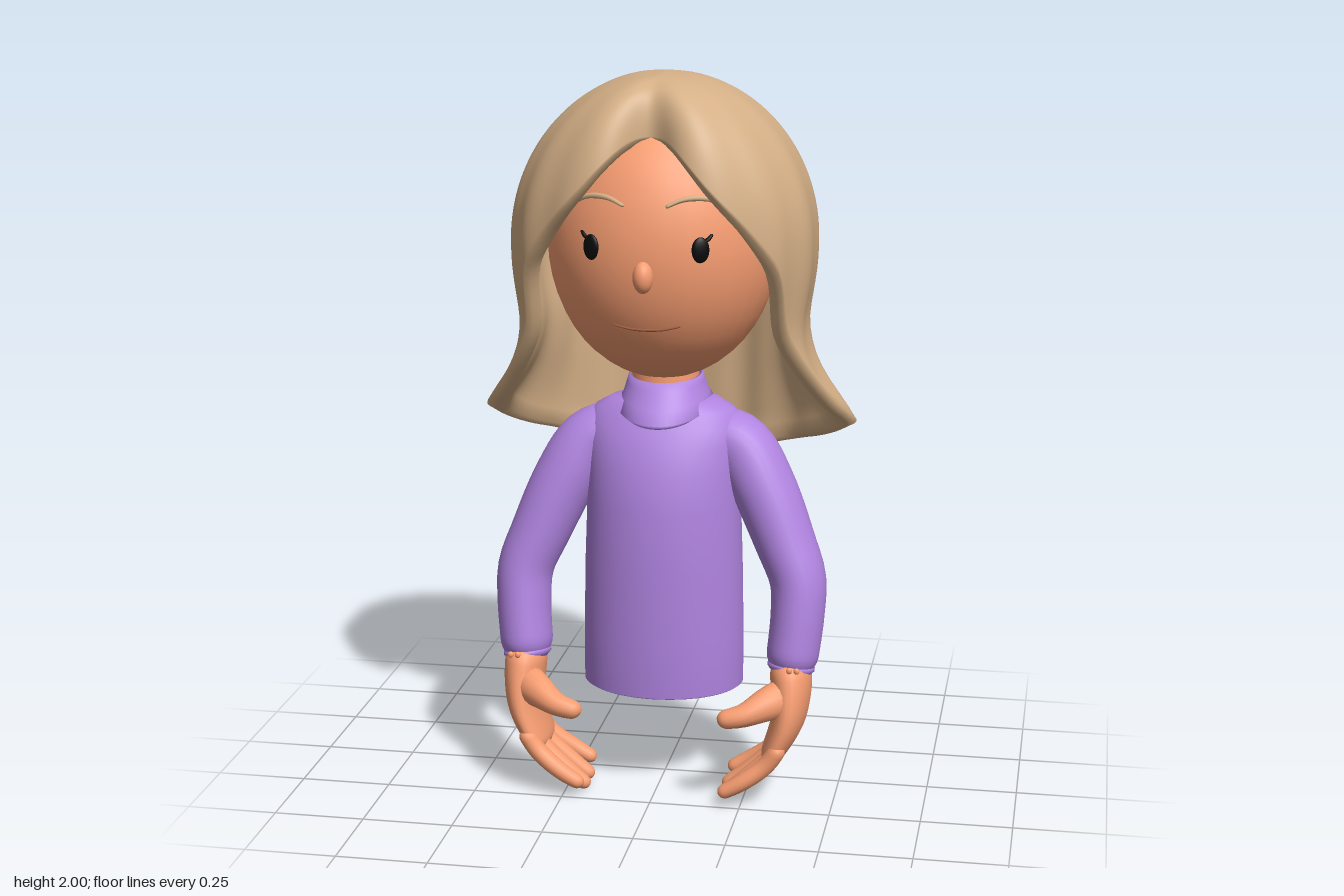
import * as THREE from 'three';

const mat = (color, side = THREE.FrontSide) => new THREE.MeshStandardMaterial({ color, side, roughness: 0.8 });
const V = (x, y, z) => new THREE.Vector3(x, y, z);

// Linear lookup in a table of [key, value] pairs with ascending keys
function lookup(table, k) {
  if (k <= table[0][0]) return table[0][1];
  for (let i = 1; i < table.length; i++) {
    const [a, va] = table[i - 1], [b, vb] = table[i];
    if (k <= b) return va + (vb - va) * (k - a) / (b - a);
  }
  return table[table.length - 1][1];
}
const smoothLookup = (table, k, w) =>
  [-1, -0.5, 0, 0.5, 1].reduce((s, d) => s + lookup(table, k + d * w), 0) / 5;

// Surface through rows of closed rings
function rings(rows, cols, point) {
  const pos = [], index = [];
  for (let i = 0; i < rows; i++)
    for (let j = 0; j < cols; j++) pos.push(...point(i, j / cols * Math.PI * 2).toArray());
  for (let i = 0; i < rows - 1; i++)
    for (let j = 0; j < cols; j++) {
      const k = (j + 1) % cols, a = i * cols + j, b = i * cols + k;
      index.push(a, b, a + cols, b, b + cols, a + cols);
    }
  const g = new THREE.BufferGeometry();
  g.setAttribute('position', new THREE.Float32BufferAttribute(pos, 3));
  g.setIndex(index);
  g.computeVertexNormals();
  return g;
}

// Round-ended limb along a path; radii are [across, along z] pairs spaced along it
function limb(points, radii, rows = 26, cols = 20) {
  const curve = new THREE.CatmullRomCurve3(points), len = curve.getLength();
  return rings(rows, cols, (i, a) => {
    const t = (1 - Math.cos(Math.PI * i / (rows - 1))) / 2;
    const table = c => radii.map((r, k) => [k / (radii.length - 1), r[c]]);
    const rx = smoothLookup(table(0), t, 0.1), rz = smoothLookup(table(1), t, 0.1);
    const d = Math.min(t, 1 - t) * len, q = Math.max(0, 1 - d / Math.min(rx, rz));
    const end = Math.sqrt(Math.max(0, 1 - q * q));
    const tan = curve.getTangentAt(t);
    const n1 = V(0, 0, 1).addScaledVector(tan, -tan.z).normalize();
    const n2 = tan.clone().cross(n1);
    return curve.getPointAt(t).addScaledVector(n1, Math.cos(a) * rz * end).addScaledVector(n2, Math.sin(a) * rx * end);
  });
}

// Hem height by angle from the front centre (0) to the back (PI)
const HEM = [[0, 1.86], [0.15, 1.845], [0.32, 1.79], [0.5, 1.7], [0.75, 1.6], [1.0, 1.48], [1.15, 1.33],
  [1.42, 1.17], [1.6, 1.07], [1.95, 0.99], [2.45, 0.93], [3.2, 0.92]];
const WIDTH = [[1.03, 0.55], [1.1, 0.495], [1.2, 0.418], [1.3, 0.388], [1.4, 0.392], [1.55, 0.41]];
const BACK = [[0.92, 0.31], [0.97, 0.335], [1.2, 0.34], [1.55, 0.36]];

function hairPoint(angle, t, scale, drop) {
  const phi = angle > Math.PI ? Math.PI * 2 - angle : angle;
  const s = Math.sin(angle), c = Math.cos(angle);
  const hem = smoothLookup(HEM, phi, 0.07);
  let y = 2.004 - (2.004 - hem) * Math.pow(t, 1.8);
  const k = y > 1.55 ? Math.max(0, 1 - ((y - 1.55) / 0.454) ** 2) : 1;
  const flare = Math.pow(Math.abs(s), 6);
  const low = 0.39 * (1 - flare) + smoothLookup(WIDTH, y, 0.04) * flare;
  const blend = THREE.MathUtils.smoothstep(y, 1.3, 1.55);
  const w = (low + (0.413 - low) * blend) * Math.sqrt(k);
  const depth = c > 0 ? 0.358 * Math.pow(k, 0.23 + 0.27 * (1 - c)) : lookup(BACK, y) * Math.sqrt(k);
  const ripple = 1 + 0.014 * t * Math.sin(phi * 15) * Math.min(1, phi);
  const x = w * s * scale * ripple;
  let z = Math.sign(c) * Math.pow(Math.abs(c), c > 0 ? 0.85 : 0.78) * depth * scale * ripple;
  // Centre parting
  if (c > 0) z -= 0.1 * Math.exp(-((x / 0.085) ** 2)) * t * c;
  y -= 0.012 * Math.exp(-((x / 0.04) ** 2)) * (z > -0.1 ? 1 : 0.5) * Math.min(1, t * 4);
  return V(x, y - drop * (1 - t), z);
}

export function createModel() {
  const model = new THREE.Group();
  const skin = mat(0xf89e72), purple = mat(0xb084e0), hairMat = mat(0xd4af86), black = mat(0x0a0a0a);
  const cloth = mat(0xb084e0, THREE.DoubleSide), lip = mat(0x9c5a3c);
  const add = (name, geo, m, parent = model) => {
    const mesh = new THREE.Mesh(geo, m);
    mesh.name = name;
    parent.add(mesh);
    return mesh;
  };
  const ball = (name, p, r, m, parent) => {
    const b = add(name, new THREE.SphereGeometry(1, 32, 24), m, parent);
    b.position.copy(p);
    b.scale.set(...r);
    return b;
  };

  // Head and face
  const face = (x, y, out = 0) =>
    V(x, y, 0.02 + out + 0.31 * Math.sqrt(Math.max(0, 1 - (x / 0.315) ** 2 - ((y - 1.55) / 0.38) ** 2)));
  const line = (pts, r) => limb(pts.map(([x, y]) => face(x, y, 0.002)), [[r * 0.6, r], [r, r], [r * 0.6, r]], 20, 8);
  ball('head', V(0, 1.55, 0.02), [0.315, 0.38, 0.31], skin);
  ball('nose', V(0, 1.5, 0.335), [0.027, 0.042, 0.03], skin);
  add('mouth', line([[-0.09, 1.362], [-0.045, 1.353], [0, 1.351], [0.045, 1.353], [0.09, 1.362]], 0.004), lip);
  for (const s of [-1, 1]) {
    const eye = ball('eye', face(s * 0.145, 1.57), [0.024, 0.034, 0.01], black);
    eye.rotation.y = s * 0.45;
    add('eyelash', line([[s * 0.15, 1.59], [s * 0.163, 1.597], [s * 0.174, 1.61]], 0.006), black);
    add('eyebrow', line([[s * 0.055, 1.682], [s * 0.1, 1.7], [s * 0.155, 1.7], [s * 0.2, 1.68]], 0.008), hairMat);
  }
  const neck = add('neck', new THREE.CylinderGeometry(0.09, 0.1, 0.25, 32), skin);
  neck.position.set(0, 1.13, -0.01);

  // Hair: inner surface down, round the hem, outer surface up
  const N = 44;
  add('hair', rings(2 * N + 3, 144, (i, a) => {
    if (i <= N) return hairPoint(a, i / N, 0.89, 0.03);
    if (i === N + 1) {
      const p = hairPoint(a, 1, 0.95, 0);
      p.y -= 0.012;
      return p;
    }
    return hairPoint(a, (2 * N + 2 - i) / N, 1, 0);
  }), hairMat);

  // Sweater body: [y, half width, half depth]
  const body = [[0.29, 0.218, 0.178], [0.295, 0.225, 0.185], [0.45, 0.225, 0.186], [0.65, 0.221, 0.186], [0.82, 0.215, 0.182],
    [0.92, 0.217, 0.172], [0.99, 0.222, 0.155], [1.04, 0.218, 0.133], [1.08, 0.195, 0.112], [1.105, 0.15, 0.1], [1.115, 0.08, 0.085]];
  const bodyPoint = (i, a, scale) => {
    const [y, w, d] = body[i];
    return V(Math.sin(a) * w * scale, y, 0.02 - 0.03 * Math.max(0, (y - 0.8) / 0.3) + Math.cos(a) * d * scale);
  };
  add('sweaterBody', rings(body.length, 64, (i, a) => bodyPoint(i, a, 1)), cloth);
  // Open skin lining seen from below
  add('bodyLining', rings(body.length - 1, 64, (i, a) => bodyPoint(i, a, 0.975)), mat(0xf89e72, THREE.DoubleSide));

  // Rolled collar: flared skirt dipping at the front, folded top, then inside
  const collar = [[0, 0.115], [0.1, 0.132], [0.4, 0.118], [0.8, 0.107], [1, 0.102], [0.97, 0.093], [0.5, 0.092]];
  add('collar', rings(collar.length, 48, (i, a) => {
    const [t, r] = collar[i], c = Math.cos(a), hang = 1 - t;
    return V(Math.sin(a) * r, 1.085 - 0.035 * c * hang + 0.09 * t - 0.012 * c * t,
      c * r - 0.015 + 0.06 * hang * Math.max(0, c));
  }), cloth);

  // Arms and hands
  for (const s of [-1, 1]) {
    const arm = new THREE.Group();
    arm.name = s > 0 ? 'leftArm' : 'rightArm';
    model.add(arm);
    const path = pts => pts.map(([x, y, z]) => V(s * x, y, z));
    add('sleeve', limb(path([[0.1, 1.015, -0.01], [0.205, 0.982, -0.005], [0.275, 0.875, 0.02], [0.345, 0.72, 0.05],
      [0.384, 0.62, 0.07], [0.387, 0.53, 0.088], [0.37, 0.35, 0.118]]),
      [[0.07, 0.08], [0.09, 0.097], [0.09, 0.1], [0.084, 0.098], [0.077, 0.094], [0.073, 0.092], [0.072, 0.092]], 44, 28), purple, arm);
    add('cuff', limb(path([[0.378, 0.42, 0.108], [0.374, 0.385, 0.114], [0.369, 0.345, 0.121]]),
      [[0.077, 0.097], [0.081, 0.101], [0.079, 0.099]], 16, 28), purple, arm);
    for (const x of [0.38, 0.4])
      ball('cuffButton', V(s * x, 0.4, 0.208), [0.008, 0.009, 0.006], skin, arm);
    add('palm', limb(path([[0.37, 0.42, 0.115], [0.377, 0.32, 0.13], [0.37, 0.24, 0.14], [0.318, 0.115, 0.145]]),
      [[0.056, 0.08], [0.058, 0.098], [0.05, 0.108], [0.04, 0.108], [0.028, 0.1]], 28, 24), skin, arm);
    [[0.228, 0.238, 0.055], [0.176, 0.178, 0.028], [0.118, 0.115, 0.032], [0.066, 0.054, 0.06]].forEach(([z0, z1, y], k) =>
      add('finger' + (k + 1), limb(path([[0.362, 0.19, z0], [0.32, 0.128, z0], [0.255, 0.055 + y * 0.4, z1], [0.18 + y * 0.2, y - 0.016, z1]]),
        [[0.024, 0.028], [0.025, 0.027], [0.024, 0.026], [0.019, 0.021]], 22, 16), skin, arm));
    add('thumb', limb(path([[0.375, 0.315, 0.16], [0.315, 0.3, 0.22], [0.26, 0.28, 0.255], [0.19, 0.265, 0.265]]),
      [[0.055, 0.05], [0.048, 0.044], [0.032, 0.033], [0.024, 0.026]], 22, 16), skin, arm);
  }
  return model;
}
